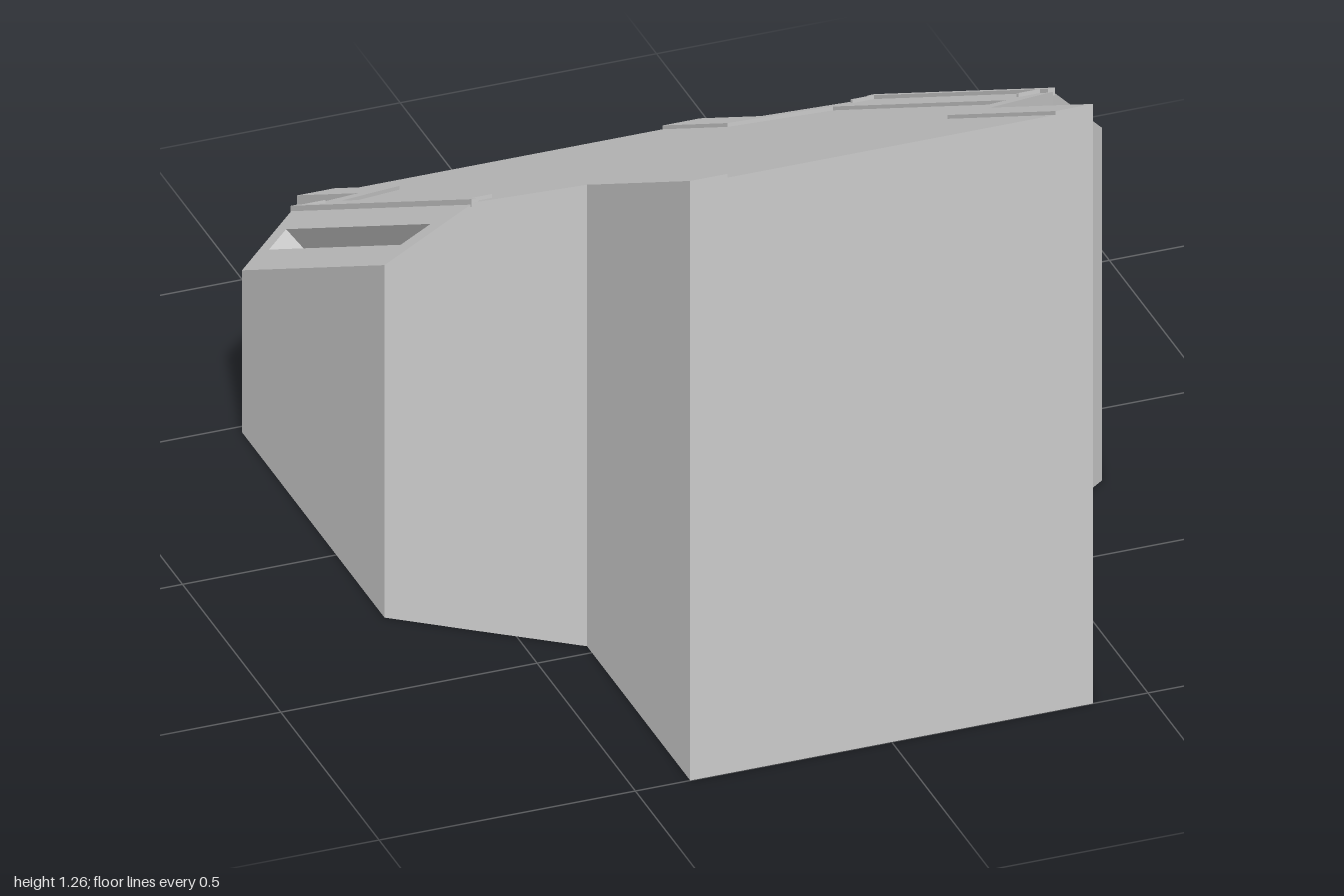
import * as THREE from 'three';

const material = new THREE.MeshStandardMaterial({ color: 0xcccccc, flatShading: true, side: THREE.DoubleSide });

// Height rules: sloped deck, sunken panel, and the bevel beside the deck
const EDGE = 0.565, SINK = 0.008;
const deckY = (x, z) => 0.7075 + 0.5525 * z;
const panelY = (x, z) => deckY(x, z) - SINK;
const bevelY = (x, z) => deckY(x, z) - 0.757 * (Math.abs(x) - EDGE);
const lift = (pts, rule) => pts.map(([x, z]) => new THREE.Vector3(x, rule(x, z), z));
const mirror = (pts, s) => pts.map(([x, z]) => [x * s, z]);

function part(name, geometry) {
  const mesh = new THREE.Mesh(geometry, material);
  mesh.name = name;
  return mesh;
}

// Flat plan outline [x, z] with an optional hole, raised by a height rule
function sheet(name, outline, rule, hole) {
  const toPlan = (pts) => pts.map(([x, z]) => new THREE.Vector2(x, -z));
  const shape = new THREE.Shape(toPlan(outline));
  if (hole) shape.holes.push(new THREE.Path(toPlan(hole)));
  const geo = new THREE.ShapeGeometry(shape).rotateX(-Math.PI / 2);
  const p = geo.attributes.position;
  for (let i = 0; i < p.count; i++) p.setY(i, rule(p.getX(i), p.getZ(i)));
  geo.computeVertexNormals();
  return part(name, geo);
}

// Band of quads between two rows of points
function band(name, top, bottom, closed) {
  const pos = [];
  const n = top.length;
  for (let i = 0; i < (closed ? n : n - 1); i++) {
    const j = (i + 1) % n;
    for (const v of [top[i], bottom[i], bottom[j], top[i], bottom[j], top[j]]) pos.push(v.x, v.y, v.z);
  }
  const geo = new THREE.BufferGeometry();
  geo.setAttribute('position', new THREE.Float32BufferAttribute(pos, 3));
  geo.computeVertexNormals();
  return part(name, geo);
}

// Thin box lying on the deck slope
function deckBox(name, x, z, w, d) {
  const geo = new THREE.BoxGeometry(w, 0.016, d).translate(x, 0, z);
  const p = geo.attributes.position;
  for (let i = 0; i < p.count; i++) p.setY(i, p.getY(i) + deckY(0, p.getZ(i)));
  geo.computeVertexNormals();
  return part(name, geo);
}

export function createModel() {
  const group = new THREE.Group();

  // One half of each outline, from front to back
  const deckEdge = [[0.393, 1], [0.393, 0.475], [EDGE, 0.347], [EDGE, -0.573], [0.393, -0.69], [0.393, -1]];
  const panelEdge = [[0.32, 1], [0.32, 0.45], [0.48, 0.33], [0.48, -0.55], [0.32, -0.67], [0.32, -1]];
  const bevelEdge = [[EDGE, 0.347], [0.7, 0.245], [0.7, -0.48], [EDGE, -0.573]];
  const slot = [[0.61, 0.245], [0.655, 0.21], [0.655, -0.46], [0.61, -0.49]];
  const foot = [deckEdge[0], deckEdge[1], ...bevelEdge, deckEdge[4], deckEdge[5]];
  const whole = (half) => [...half, ...mirror(half, -1).reverse()];

  // Underside and sunken deck panel
  group.add(sheet('underside', whole(foot), () => 0));
  group.add(sheet('deckPanel', whole(panelEdge), panelY));

  // End walls under the panel
  for (const z of [1, -1]) {
    const end = [[-0.32, z], [0.32, z]];
    group.add(band('endWall', lift(end, panelY), lift(end, () => 0)));
  }

  for (const s of [1, -1]) {
    const side = new THREE.Group();
    side.name = s > 0 ? 'leftSide' : 'rightSide';
    group.add(side);

    // Raised deck border and its inner step
    const inner = mirror(panelEdge, s);
    side.add(sheet('deckBorder', [...mirror(deckEdge, s), ...[...inner].reverse()], deckY));
    side.add(band('panelStep', lift(inner, deckY), lift(inner, panelY)));

    // Outer wall, wrapping onto the ends
    const wall = mirror([[0.32, 1], ...foot, [0.32, -1]], s);
    const wallTop = (x, z) => Math.min(deckY(x, z), bevelY(x, z));
    side.add(band('sideWall', lift(wall, wallTop), lift(wall, () => 0)));

    // Bevel with a long recessed slot
    const rim = mirror(slot, s);
    side.add(sheet('bevel', mirror(bevelEdge, s), bevelY, rim));
    const top = lift(rim, bevelY);
    const inward = new THREE.Vector3(-0.757 * s, -1, 0.5525).setLength(0.1);
    const floor = top.map((v) => v.clone().add(inward));
    side.add(band('slotWalls', top, floor, true));
    side.add(band('slotFloor', [floor[0], floor[3]], [floor[1], floor[2]]));

    // Rib along the bevel and its small end tabs
    side.add(deckBox('edgeRib', 0.5625 * s, -0.113, 0.014, 0.92));
    for (const z of [0.3, -0.545]) side.add(deckBox('ribTab', 0.535 * s, z, 0.042, 0.012));
  }
  return group;
}
